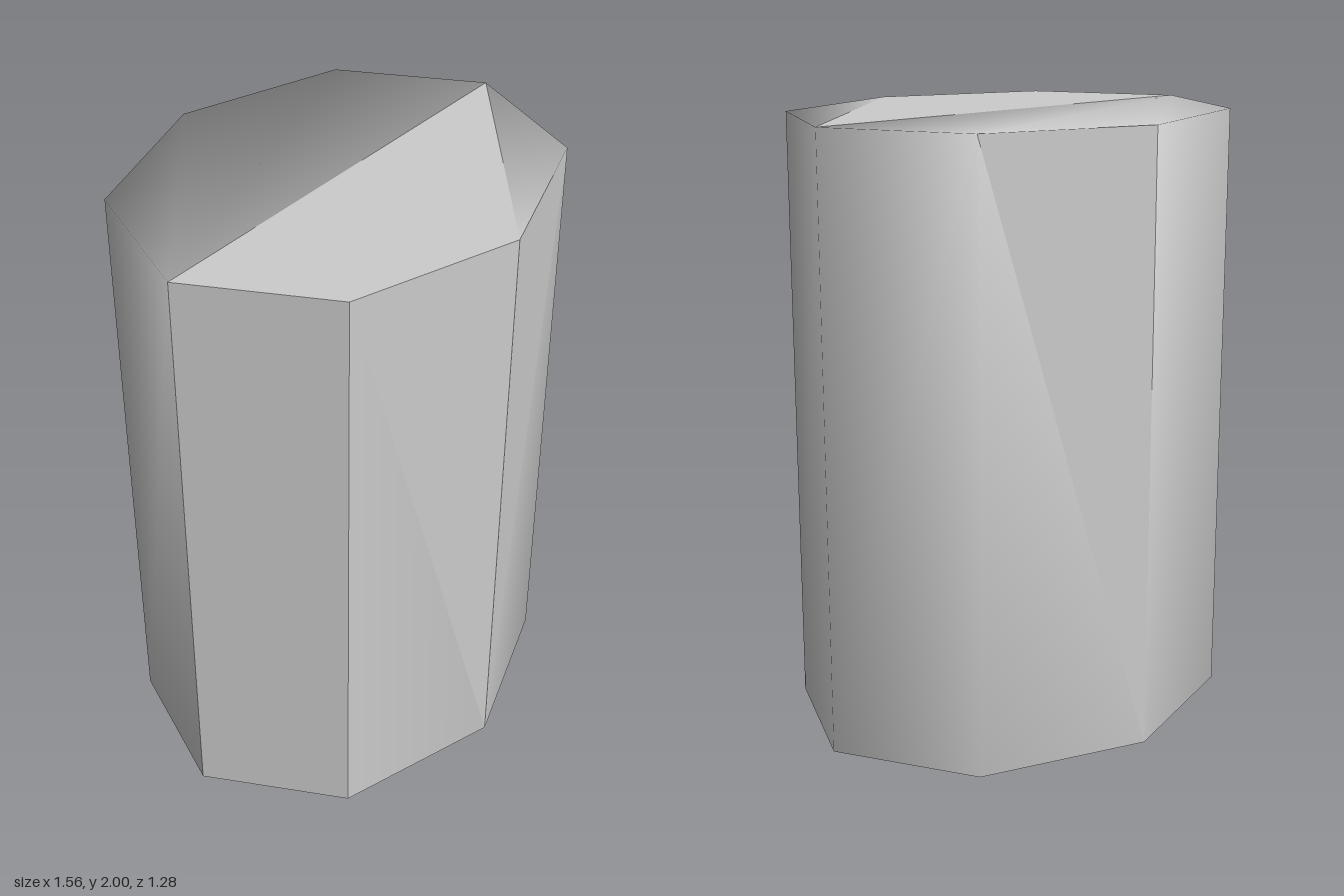
import * as THREE from 'three';

const HEIGHT = 2;
// eight corners of the plan, from +x round through +z
const RING = [[0.78, 0], [0.555, 0.455], [0, 0.64], [-0.555, 0.455],
  [-0.78, 0], [-0.555, -0.455], [0, -0.64], [0.555, -0.455]];

// corner numbers: 0-7 on the top, 8-15 on the bottom
const up = (a, b, c) => [a, c, b];
const down = (a, b, c) => [a + 8, b + 8, c + 8];
const upperHalf = (i, j, towardNext) => (towardNext ? [i, j, j + 8] : [i, j, i + 8]);
const lowerHalf = (i, j, towardNext) => (towardNext ? [i + 8, i, j + 8] : [j, j + 8, i + 8]);

function facets(triangles) {
  const g = new THREE.BufferGeometry();
  const corners = [HEIGHT, 0].flatMap((y) => RING.flatMap(([x, z]) => [x, y, z]));
  g.setAttribute('position', new THREE.Float32BufferAttribute(corners, 3));
  g.setIndex(triangles.flat());
  return g;
}

export function createModel() {
  const group = new THREE.Group();
  group.name = 'octagonalBlock';

  // caps: some facets are rounded in shading, others plain
  const smooth = [up(0, 1, 2), up(4, 5, 6), up(4, 6, 7), [4, 0, 7],
    down(0, 1, 2), down(5, 6, 7)];
  const flat = [up(0, 2, 4), up(2, 3, 4),
    down(0, 2, 7), down(2, 5, 7), down(2, 4, 5), down(2, 3, 4)];

  // walls: each is split along a diagonal
  const plainUpper = [1, 2, 3, 6];
  for (let i = 0; i < 8; i++) {
    const j = (i + 1) % 8;
    const towardNext = i !== 2 && i !== 6;
    (plainUpper.includes(i) ? flat : smooth).push(upperHalf(i, j, towardNext));
    (i === 3 ? flat : smooth).push(lowerHalf(i, j, towardNext));
  }

  const smoothGeometry = facets(smooth);
  smoothGeometry.computeVertexNormals();
  const flatGeometry = facets(flat).toNonIndexed();
  flatGeometry.computeVertexNormals();

  for (const [name, geometry] of [['softFacets', smoothGeometry], ['plainFacets', flatGeometry]]) {
    const mesh = new THREE.Mesh(geometry, new THREE.MeshStandardMaterial({ color: 0xcccccc }));
    mesh.name = name;
    group.add(mesh);
  }
  return group;
}
